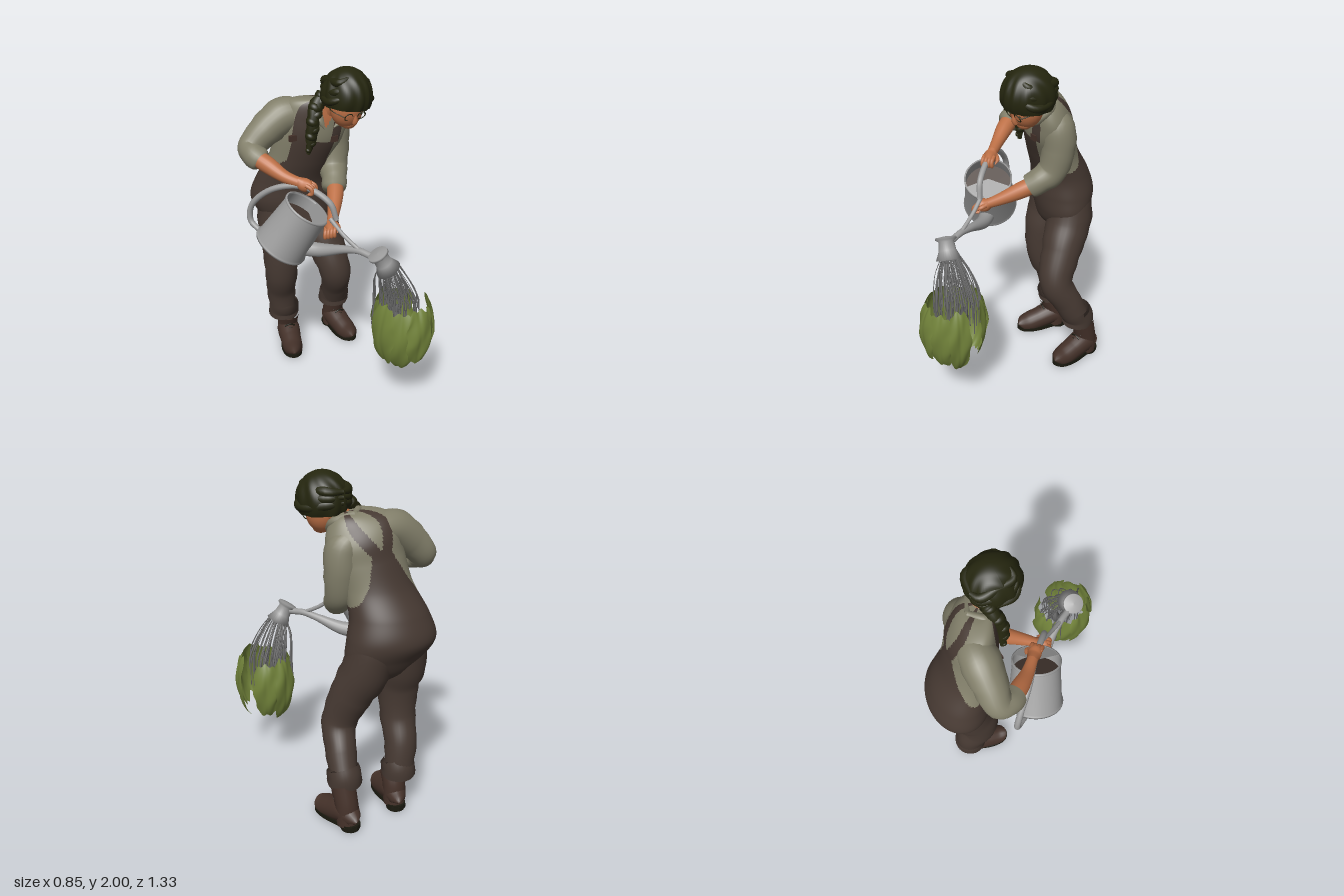
import * as THREE from 'three';
import { mergeGeometries } from 'three/addons/utils/BufferGeometryUtils.js';

const paint = (name, color, side = THREE.FrontSide) => {
  const m = new THREE.MeshStandardMaterial({ color, side });
  m.name = name;
  return m;
};
const V = (p) => new THREE.Vector3(p[0], p[1], p[2]);

// Smooth interpolation through rows of numbers, t in 0..1
function sample(rows, t) {
  const f = t * (rows.length - 1), i = Math.min(Math.floor(f), rows.length - 2), s = f - i;
  const at = (k) => rows[Math.max(0, Math.min(rows.length - 1, k))];
  return rows[0].map((_, c) => {
    const a = at(i - 1)[c], b = at(i)[c], d = at(i + 1)[c], e = at(i + 2)[c];
    return b + 0.5 * s * (d - a + s * (2 * a - 5 * b + 4 * d - e + s * (3 * (b - d) + e - a)));
  });
}

// Tube through [x, y, z, radius] points; fold adds cloth wrinkles
function limbGeometry(pts, seg = 32, sides = 20, fold = 0) {
  const curve = new THREE.CatmullRomCurve3(pts.map(V), false, 'catmullrom', 0.5);
  const geo = new THREE.TubeGeometry(curve, seg, 1, sides);
  const pos = geo.attributes.position, p = new THREE.Vector3();
  for (let i = 0; i <= seg; i++) {
    const c = curve.getPointAt(i / seg);
    const r = Math.max(0.0005, sample(pts.map((q) => [q[3]]), curve.getUtoTmapping(i / seg))[0]);
    for (let j = 0; j <= sides; j++) {
      const k = i * (sides + 1) + j, a = (j / sides) * Math.PI * 2;
      const w = 1 + fold * Math.sin(i * 0.85 + 2 * Math.sin(a)) * Math.sin(a + i * 0.2);
      p.fromBufferAttribute(pos, k).sub(c).multiplyScalar(r * w).add(c);
      pos.setXYZ(k, p.x, p.y, p.z);
    }
  }
  return geo;
}

// Body loft from [x, y, z, halfWidth, halfDepth, roll, yaw] rows, coloured by a rule
function bodyGeometry(rows, rule, seg = 170, sides = 144) {
  const pos = [], faces = [[], [], []];
  for (let i = 0; i <= seg; i++) {
    const [x, y, z, w, d, roll, yaw] = sample(rows, i / seg);
    for (let j = 0; j < sides; j++) {
      const a = (j / sides) * Math.PI * 2, dx = w * Math.cos(a);
      pos.push(x + dx, y + roll * dx, z + d * Math.sin(a) + yaw * dx);
    }
    if (i === seg) break;
    for (let j = 0; j < sides; j++) {
      const a = ((j + 0.5) / sides) * Math.PI * 2, k = i * sides, n = (j + 1) % sides;
      faces[rule(Math.cos(a), y, Math.sin(a) > 0)].push(
        k + j, k + sides + j, k + n, k + sides + j, k + sides + n, k + n);
    }
  }
  const geo = new THREE.BufferGeometry();
  geo.setAttribute('position', new THREE.Float32BufferAttribute(pos, 3));
  geo.setIndex(faces.flat());
  let start = 0;
  faces.forEach((f, i) => { geo.addGroup(start, f.length, i); start += f.length; });
  geo.computeVertexNormals();
  return geo;
}

export function createModel() {
  const model = new THREE.Group();
  const overalls = paint('overalls brown', 0x463932), shirt = paint('shirt khaki', 0x827f6a);
  const skin = paint('skin', 0xbd7046), hair = paint('hair dark green', 0x25260f, THREE.DoubleSide);
  const metal = paint('can grey', 0x9c9c9c, THREE.DoubleSide), leather = paint('boot leather', 0x443129);
  const sole = paint('sole black', 0x1b1a10), leaf = paint('leaf green', 0x71823a, THREE.DoubleSide);
  const water = paint('water grey', 0x6c6c6c);

  const add = (name, geo, mat, parent = model) => {
    const m = new THREE.Mesh(geo, mat);
    m.name = name;
    parent.add(m);
    return m;
  };
  const limb = (name, mat, pts, seg, sides, fold) => add(name, limbGeometry(pts, seg, sides, fold), mat);
  const ball = (name, mat, at, size) => {
    const m = add(name, new THREE.SphereGeometry(1, 28, 20), mat);
    m.position.set(...at);
    m.scale.set(...size);
    return m;
  };

  // Torso: 0 overalls, 1 shirt, 2 open collar
  const dress = (s, y, front) => {
    if (y < 1.31) return 0;
    if (front) {
      if (y > 1.63 && Math.abs(s - 0.05) < (y - 1.63) * 2) return 2;
      if (y < 1.55) return Math.abs(s + 0.13) < 0.6 + Math.max(0, 1.42 - y) * 4 ? 0 : 1;
      return Math.abs(s + 0.6) < 0.16 || Math.abs(s - 0.46) < 0.16 ? 0 : 1;
    }
    const edge = 0.3 + Math.pow(Math.max(0, 1.6 - y) / 0.29, 1.4) * 0.72;
    if (y < 1.6) return Math.abs(s) < edge ? 0 : 1;
    return Math.abs(Math.abs(s) - 0.15 - (y - 1.6) * 2.3) < 0.17 ? 0 : 1;
  };
  add('torso', bodyGeometry([
    [0.01, 0.87, -0.43, 0.06, 0.06, 0, 0], [0, 0.93, -0.435, 0.17, 0.125, 0, 0.1],
    [0, 1.01, -0.445, 0.23, 0.16, 0, 0.14], [-0.025, 1.12, -0.465, 0.25, 0.192, 0, 0.15],
    [-0.025, 1.25, -0.44, 0.222, 0.175, 0, 0.14], [0, 1.4, -0.365, 0.195, 0.155, -0.05, 0.14],
    [0.03, 1.55, -0.31, 0.2, 0.152, -0.15, 0.18], [0.05, 1.66, -0.29, 0.195, 0.142, -0.28, 0.2],
    [0.065, 1.735, -0.265, 0.165, 0.118, -0.32, 0.2], [0.09, 1.785, -0.23, 0.095, 0.08, -0.22, 0.1],
    [0.1, 1.795, -0.2, 0.02, 0.02, 0, 0]], dress), [overalls, shirt, skin]);
  [[-0.12, 1.58, -0.225], [0.115, 1.56, -0.15]].forEach((p) => {
    const b = add('strapBuckle', new THREE.BoxGeometry(0.045, 0.035, 0.02), leather);
    b.position.set(...p);
  });

  // Trouser legs, rounded at the hip, with turned-up cuffs
  limb('rightLeg', overalls, [[-0.1, 1.17, -0.47, 0.005], [-0.1, 1.12, -0.47, 0.1], [-0.105, 1.04, -0.465, 0.138], [-0.115, 0.92, -0.45, 0.142],
    [-0.13, 0.78, -0.415, 0.12], [-0.13, 0.58, -0.42, 0.105], [-0.11, 0.42, -0.475, 0.095], [-0.09, 0.25, -0.49, 0.087]], 56, 28, 0.03);
  limb('leftLeg', overalls, [[0.08, 1.17, -0.45, 0.005], [0.085, 1.12, -0.45, 0.1], [0.1, 1.04, -0.445, 0.134], [0.125, 0.92, -0.415, 0.138],
    [0.16, 0.78, -0.35, 0.124], [0.2, 0.58, -0.285, 0.103], [0.24, 0.42, -0.355, 0.09], [0.265, 0.28, -0.42, 0.083]], 56, 28, 0.03);
  const cuff = (x, y, z) => limb('trouserCuff', overalls, [[x, y + 0.08, z + 0.02, 0.07], [x, y + 0.075, z + 0.02, 0.095],
    [x, y + 0.03, z, 0.1], [x, y - 0.02, z, 0.097], [x, y - 0.03, z, 0.06]], 16, 28, 0.02);
  cuff(-0.09, 0.235, -0.485);
  cuff(0.265, 0.275, -0.42);

  // Boots: toe points along +z, then turned
  const boot = (name, x, z, turn, h) => {
    const g = new THREE.Group();
    g.name = name;
    add('bootShaft', limbGeometry([[0, h, 0.02, 0.072], [0, 0.16, -0.01, 0.068], [0, 0.09, -0.02, 0.07], [0, 0.025, -0.025, 0.064]]), leather, g);
    const foot = limbGeometry([[0, 0.06, -0.1, 0.01], [0, 0.075, -0.075, 0.05], [0, 0.1, 0, 0.075],
      [0, 0.07, 0.1, 0.07], [0, 0.05, 0.17, 0.066], [0, 0.045, 0.22, 0.048], [0, 0.04, 0.24, 0.005]]);
    const p = foot.attributes.position;
    for (let i = 0; i < p.count; i++) p.setY(i, Math.max(0.02, p.getY(i)));
    add('bootFoot', foot, leather, g);
    const outline = new THREE.Shape(new THREE.SplineCurve([[0, 0.105], [0.05, 0.08], [0.052, 0], [0.068, -0.12], [0.052, -0.21],
      [0, -0.245], [-0.052, -0.21], [-0.068, -0.12], [-0.052, 0], [-0.05, 0.08], [0, 0.105]].map((q) => new THREE.Vector2(...q))).getPoints(40));
    const s = add('bootSole', new THREE.ExtrudeGeometry(outline, { depth: 0.024, bevelEnabled: false }), sole, g);
    s.rotation.x = -Math.PI / 2;
    s.position.y = 0.01;
    const heel = add('bootHeel', new THREE.CylinderGeometry(0.058, 0.055, 0.04, 20), sole, g);
    heel.position.set(0, 0.02, -0.045);
    for (let i = 0; i < 4; i++) {
      add('lace', limbGeometry([[-0.035, 0.135 + i * 0.02, 0.08 - i * 0.013, 0.005], [0, 0.15 + i * 0.02, 0.085 - i * 0.013, 0.005],
        [0.035, 0.135 + i * 0.02, 0.08 - i * 0.013, 0.005]], 6, 6), sole, g);
    }
    g.position.set(x, 0, z);
    g.rotation.y = turn;
    model.add(g);
  };
  boot('rightBoot', -0.07, -0.465, -0.28, 0.24);
  boot('leftBoot', 0.29, -0.46, 0.08, 0.27);

  // Sleeves, rolled cuffs and forearms
  limb('rightSleeve', shirt, [[0.01, 1.68, -0.32, 0.01], [-0.03, 1.69, -0.325, 0.08], [-0.125, 1.685, -0.34, 0.11], [-0.235, 1.61, -0.355, 0.098],
    [-0.325, 1.52, -0.362, 0.08], [-0.335, 1.49, -0.3, 0.074], [-0.315, 1.47, -0.255, 0.066], [-0.31, 1.465, -0.245, 0.03]], 40, 24, 0.03);
  limb('rightForearm', skin, [[-0.34, 1.49, -0.3, 0.05], [-0.29, 1.45, -0.21, 0.05], [-0.23, 1.4, -0.12, 0.037], [-0.16, 1.372, -0.035, 0.03]]);
  limb('leftSleeve', shirt, [[0.1, 1.65, -0.28, 0.01], [0.125, 1.645, -0.28, 0.07], [0.17, 1.6, -0.275, 0.1], [0.18, 1.48, -0.275, 0.096],
    [0.165, 1.35, -0.25, 0.088], [0.135, 1.285, -0.18, 0.077], [0.105, 1.25, -0.135, 0.07], [0.1, 1.245, -0.125, 0.03]], 40, 24, 0.03);
  limb('leftForearm', skin, [[0.14, 1.28, -0.18, 0.05], [0.09, 1.23, -0.09, 0.05], [0.03, 1.175, 0.0, 0.038], [-0.035, 1.125, 0.085, 0.028]]);

  // Hands gripping, with four fingers and a thumb; fingers spread along step
  const hand = (name, at, dir, step) => {
    const c = V(at), d = V(dir), s = V(step);
    const put = (f, w, down, r) => [...c.clone().addScaledVector(d, f).addScaledVector(s, w).add(new THREE.Vector3(0, down, 0)).toArray(), r];
    limb(name, skin, [put(-0.035, 0, 0.01, 0.028), put(0, 0, 0, 0.04), put(0.035, 0, 0, 0.034), put(0.055, 0, -0.005, 0.004)], 16, 16);
    for (let i = 0; i < 4; i++) {
      const w = (i - 1.5) * 0.02;
      limb(name + 'Finger', skin, [put(0.03, w, 0.012, 0.013), put(0.065, w, 0, 0.012), put(0.068, w, -0.03, 0.011), put(0.035, w, -0.045, 0.003)], 12, 8);
    }
    limb(name + 'Thumb', skin, [put(-0.01, 0.03, 0, 0.014), put(0.02, 0.05, -0.01, 0.013), put(0.05, 0.045, -0.025, 0.003)], 10, 8);
  };
  hand('rightHand', [-0.155, 1.37, -0.03], [0.6, -0.15, 0.75], [0.75, 0, -0.6]);
  hand('leftHand', [-0.035, 1.125, 0.085], [-0.55, -0.2, 0.75], [0.7, 0.3, 0.6]);

  // Neck, collar and face
  limb('neck', skin, [[0.08, 1.68, -0.23, 0.07], [0.11, 1.75, -0.185, 0.062], [0.145, 1.82, -0.12, 0.06]]);
  [-1, 1].forEach((s) => limb('collar', shirt, [[0.09, 1.785, -0.275, 0.018], [0.1 + s * 0.085, 1.765 - s * 0.02, -0.21, 0.024],
    [0.08 + s * 0.07, 1.69 - s * 0.015, -0.14, 0.026], [0.07 + s * 0.03, 1.64, -0.125, 0.004]], 20, 10));
  ball('face', skin, [0.15, 1.775, -0.07], [0.098, 0.122, 0.097]);
  ball('chin', skin, [0.155, 1.685, -0.055], [0.048, 0.038, 0.045]);
  limb('nose', skin, [[0.157, 1.755, 0.012, 0.01], [0.16, 1.715, 0.014, 0.015], [0.16, 1.695, 0.006, 0.013], [0.16, 1.69, -0.005, 0.003]], 12, 12);
  [0.115, 0.198].forEach((x) => {
    const ring = add('glassesRim', new THREE.TorusGeometry(0.025, 0.0028, 8, 24), hair);
    ring.position.set(x, 1.74, 0.018);
    ring.rotation.x = 0.5;
    ball('eye', hair, [x, 1.745, 0.006], [0.013, 0.005, 0.007]);
  });
  [[0.09, 0.05, 0.06], [0.223, 0.25, 0.24]].forEach(([a, b, c]) => limb('glassesArm', hair,
    [[a, 1.742, 0.016, 0.003], [b, 1.765, -0.06, 0.003], [c, 1.78, -0.12, 0.003]], 8, 6));

  // Hair: wavy cap, swept locks and a braid over the shoulder
  const cap = new THREE.SphereGeometry(1, 64, 32, 0, Math.PI * 2, 0, 1.95);
  const cp = cap.attributes.position;
  for (let i = 0; i < cp.count; i++) {
    const x = cp.getX(i), y = cp.getY(i), z = cp.getZ(i);
    const w = 1 + 0.03 * Math.sin(x * 14 + 4 * Math.sin(z * 3)) * (1 - Math.max(0, y) ** 6);
    cp.setXYZ(i, x * w, y, z * w);
  }
  cap.computeVertexNormals();
  const capMesh = add('hairCap', cap, hair);
  capMesh.position.set(0.155, 1.84, -0.08);
  capMesh.scale.set(0.144, 0.16, 0.157);
  capMesh.rotation.z = -0.1;
  [-1, 1].forEach((s) => [0, 1, 2].forEach((k) => limb('hairLock', hair, [[0.155, 1.89 + k * 0.04, 0.055 - k * 0.03, 0.008],
    [0.155 + s * (0.116 - k * 0.015), 1.83 + k * 0.05 - s * 0.008, -0.01, 0.022], [0.155 + s * (0.126 - k * 0.02), 1.82 + k * 0.05 - s * 0.008, -0.1, 0.025],
    [0.15 + s * 0.07, 1.835 + k * 0.035, -0.195, 0.028], [0.13, 1.84 + k * 0.03, -0.225, 0.014]], 24, 12, 0.1)));
  const braid = [[0.06, 1.83, -0.18, 0.04], [0.005, 1.77, -0.165, 0.042], [-0.025, 1.68, -0.15, 0.038], [-0.037, 1.58, -0.155, 0.031], [-0.05, 1.49, -0.165, 0.012]];
  limb('braid', hair, braid, 40, 14, 0.12);
  for (let i = 0; i < 9; i++) {
    const [x, y, z, r] = sample(braid, (i + 0.5) / 9.3);
    ball('braidKnot', hair, [x + (i % 2 ? 0.008 : -0.008), y, z + 0.005], [r, r * 0.8, r]).rotation.z = i % 2 ? 0.6 : -0.6;
  }

  // Watering can body, tilted
  const can = new THREE.Group();
  can.name = 'wateringCan';
  can.position.set(-0.28, 0.97, -0.1);
  can.quaternion.setFromUnitVectors(new THREE.Vector3(0, 1, 0), new THREE.Vector3(0.14, 0.265, 0.1).normalize());
  model.add(can);
  add('canBody', new THREE.LatheGeometry([[0, 0.01], [0.158, 0.01], [0.166, 0], [0.168, 0.012], [0.16, 0.02], [0.138, 0.29],
    [0.145, 0.296], [0.145, 0.306], [0.136, 0.308]].map((p) => new THREE.Vector2(...p)), 48), metal, can);
  const inside = add('canInside', new THREE.CircleGeometry(0.141, 40), overalls, can);
  inside.rotation.x = -Math.PI / 2;
  inside.position.y = 0.22;
  const lid = add('canHalfLid', new THREE.CircleGeometry(0.138, 24, -1.75, Math.PI * 0.75), metal, can);
  lid.rotation.x = -Math.PI / 2;
  lid.position.y = 0.303;
  limb('canHandle', metal, [[-0.35, 1.03, -0.22, 0.016], [-0.385, 1.09, -0.29, 0.018], [-0.37, 1.21, -0.265, 0.018], [-0.285, 1.325, -0.15, 0.018],
    [-0.16, 1.36, -0.02, 0.018], [-0.06, 1.29, 0.1, 0.018], [-0.025, 1.18, 0.13, 0.016]], 48, 12);
  limb('spout', metal, [[-0.22, 0.97, -0.06, 0.05], [-0.1, 0.97, 0.06, 0.042], [-0.01, 1.015, 0.2, 0.024], [0.035, 1.035, 0.29, 0.02],
    [0.065, 1.03, 0.36, 0.02], [0.09, 1.03, 0.42, 0.026]], 36, 16);
  limb('spoutBrace', metal, [[-0.05, 1.18, 0.1, 0.013], [-0.01, 1.1, 0.19, 0.012], [0.035, 1.04, 0.29, 0.012]], 12, 10);
  const rose = add('sprinklerRose', new THREE.LatheGeometry([[0, 0.03], [0.06, 0.025], [0.062, 0.012], [0.044, 0], [0.05, -0.05],
    [0.074, -0.105], [0, -0.112]].map((p) => new THREE.Vector2(...p)).reverse(), 32), metal);
  rose.position.set(0.09, 1.045, 0.42);
  rose.quaternion.setFromUnitVectors(new THREE.Vector3(0, -1, 0), new THREE.Vector3(0.5, -0.85, 0.15).normalize());

  // Falling water streaks
  let seed = 7;
  const rnd = () => (seed = (seed * 16807) % 2147483647) / 2147483647;
  const streaks = [];
  for (let i = 0; i < 64; i++) {
    const a = rnd() * Math.PI * 2, q = Math.sqrt(rnd()), cx = Math.cos(a) * q, cz = Math.sin(a) * q;
    const end = 0.5 + rnd() * 0.22, x1 = 0.205 + cx * 0.14, z1 = 0.45 + cz * 0.16, r = 0.002 + rnd() * 0.0015;
    streaks.push(limbGeometry([[0.14 + cx * 0.06, 0.965 + cx * 0.03, 0.437 + cz * 0.065, r], [0.17 + cx * 0.11, 0.87, 0.445 + cz * 0.125, r],
      [x1, 0.74, z1, r * 1.5], [x1 + cx * 0.01, end, z1, r]], 10, 5, 0.2));
  }
  add('waterStreaks', mergeGeometries(streaks), water);
  limb('waterCore', water, [[0.24, 0.68, 0.41, 0.005], [0.23, 0.62, 0.4, 0.03], [0.24, 0.52, 0.42, 0.025], [0.25, 0.38, 0.44, 0.004]], 20, 9, 0.25);

  // Cabbage leaves: broad overlapping panels in a ring with scalloped edges
  [16, 55, 92, 130, 170, 215, 258, 303].forEach((deg, n) => {
    const geo = new THREE.PlaneGeometry(1, 1, 24, 28), p = geo.attributes.position;
    const low = 0.335 + (n % 3) * 0.035, high = 0.755 - (n % 2) * 0.025;
    for (let i = 0; i < p.count; i++) {
      const u = p.getX(i) * 2, v = p.getY(i) + 0.5, rim = u * u * u * u;
      const y = low + (high - low) * v + 0.009 * Math.sin(u * 7 + n * 2) * Math.abs(2 * v - 1) + rim * (0.05 * (1 - v) - 0.03 * v);
      const width = (n === 0 ? 0.32 : 0.47) * (0.86 + 0.14 * Math.sin(Math.PI * v)) * (1 + 0.07 * Math.sin(v * 15 + n * 2));
      const a = (deg * Math.PI) / 180 + u * width;
      const r = 0.207 * Math.sqrt(Math.max(0.3, 1 - ((y - 0.57) / 0.3) ** 2)) - (n % 2) * 0.014
        + 0.004 * Math.sin(u * 4 + v * 9 + n) - 0.004 * Math.exp(-u * u * 30);
      p.setXYZ(i, 0.235 + r * 0.88 * Math.cos(a), y, 0.465 + r * Math.sin(a));
    }
    geo.computeVertexNormals();
    add('cabbageLeaf', geo, leaf);
  });
  return model;
}
